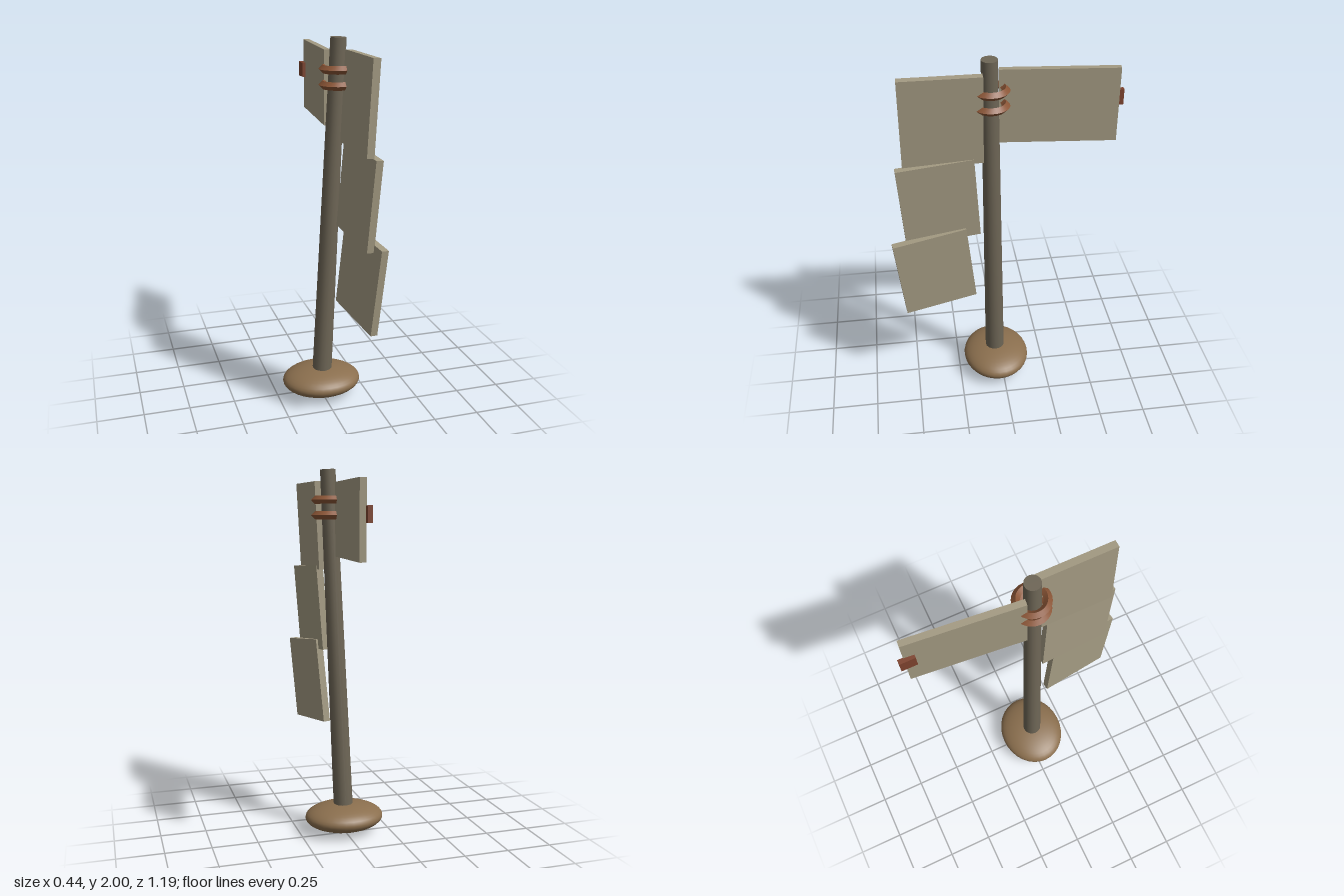
import * as THREE from 'three';
import { toCreasedNormals } from 'three/addons/utils/BufferGeometryUtils.js';

const material = (name, color) => {
  const m = new THREE.MeshStandardMaterial({ color });
  m.name = name;
  return m;
};

export function createModel() {
  const poleWood = material('weathered pole wood', 0x6e6656);
  const boardWood = material('pale board wood', 0xa39a82);
  const earth = material('earth', 0x8b6f4e);
  const rope = material('rope', 0x8a5536);
  const rust = material('rust red', 0x7d432e);

  const model = new THREE.Group();
  model.name = 'signpost';

  const add = (name, geometry, mat, position, rotation = [0, 0, 0]) => {
    const mesh = new THREE.Mesh(geometry, mat);
    mesh.name = name;
    mesh.position.set(...position);
    mesh.rotation.set(...rotation, 'YXZ');
    model.add(mesh);
    return mesh;
  };

  // Leaning, tapered pole
  const foot = new THREE.Vector3(-0.003, 0.004, 0.036);
  const tip = new THREE.Vector3(0.079, 1.998, 0.065);
  const axis = tip.clone().sub(foot);
  const pole = add('pole', new THREE.CylinderGeometry(0.041, 0.055, axis.length(), 16), poleWood,
    foot.clone().lerp(tip, 0.5).toArray());
  pole.quaternion.setFromUnitVectors(new THREE.Vector3(0, 1, 0), axis.normalize());

  // Flattened mound at the foot
  const mound = add('mound', new THREE.SphereGeometry(1, 32, 20), earth, [0, 0.09, 0.032]);
  mound.scale.set(0.22, 0.076, 0.188);

  // Two diamond-section bindings round the top of the pole
  for (const y of [1.76, 1.84]) {
    const ring = toCreasedNormals(new THREE.TorusGeometry(0.074, 0.021, 4, 28).rotateX(Math.PI / 2), 0.6);
    add('binding', ring, rope, [0.075, y, 0.06]);
  }

  // Three hanging boards, each one twisted further than the one above
  const boards = [
    { at: [0.111, 1.705, 0.304], turn: [0, 0, -0.05], width: 0.405 },
    { at: [0.104, 1.248, 0.333], turn: [0.068, 0.075, -0.055], width: 0.395 },
    { at: [0.109, 0.822, 0.37], turn: [0.113, 0.15, -0.05], width: 0.395 },
  ];
  for (const { at, turn, width } of boards) {
    add('hangingBoard', new THREE.BoxGeometry(0.038, 0.468, width), boardWood, at, turn);
  }

  // Long board pointing backward, with a small tag at its end
  add('backBoard', new THREE.BoxGeometry(0.033, 0.388, 0.585), boardWood, [0.064, 1.738, -0.277], [0, -0.094, 0]);
  add('tag', new THREE.BoxGeometry(0.025, 0.08, 0.08), rust, [0.066, 1.765, -0.557]);

  return model;
}
